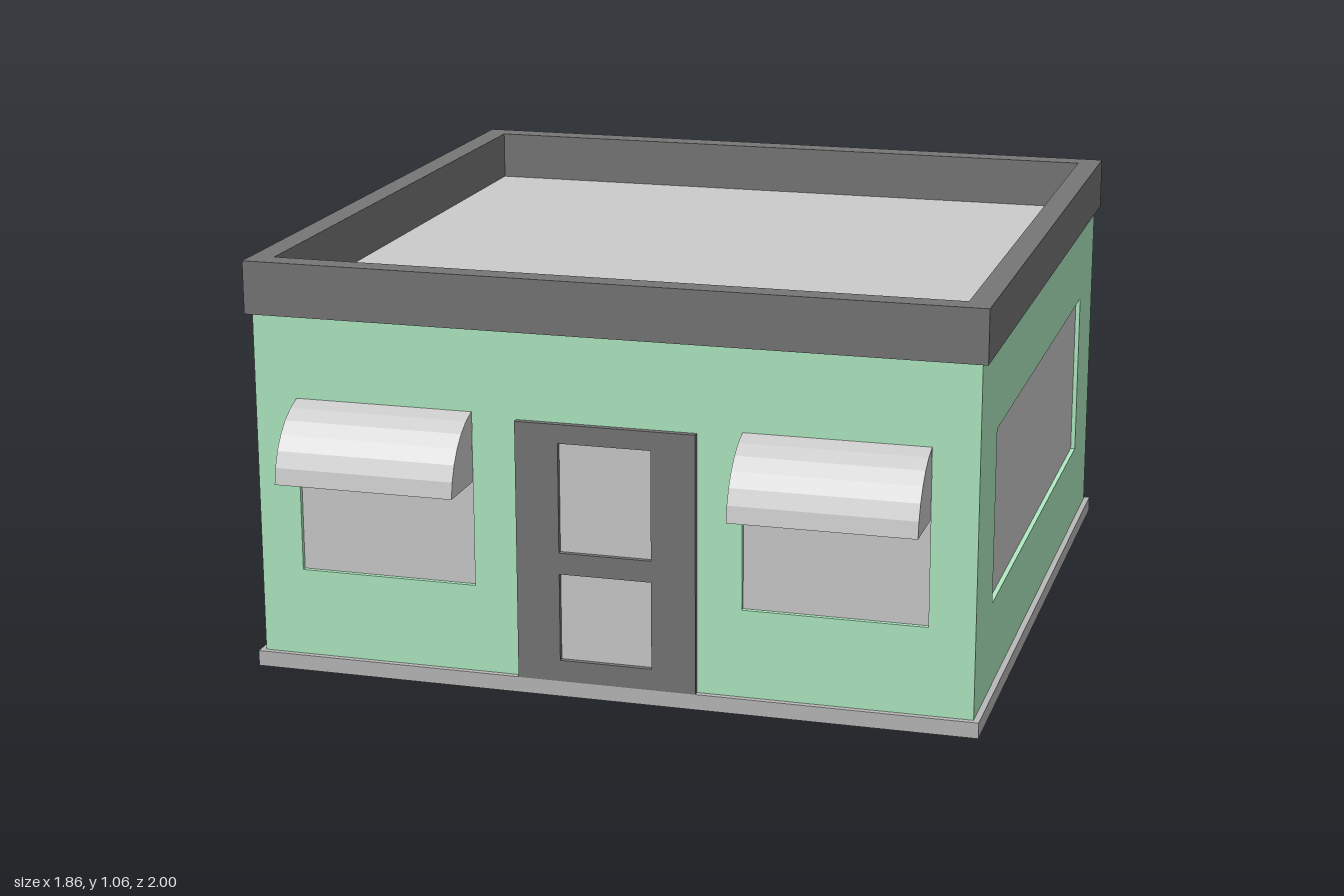
import * as THREE from 'three';

const mat = (color) => new THREE.MeshStandardMaterial({ color, flatShading: true });

// Rectangle outline [x0, y0, x1, y1] as a path or shape
function rect([x0, y0, x1, y1], Type = THREE.Path) {
  return new Type([[x0, y0], [x1, y0], [x1, y1], [x0, y1]].map(([x, y]) => new THREE.Vector2(x, y)));
}

// Flat slab with rectangular openings, extruded along +z
function slab(outer, holes, depth) {
  const shape = rect(outer, THREE.Shape);
  shape.holes = holes.map((h) => rect(h));
  return new THREE.ExtrudeGeometry(shape, { depth, bevelEnabled: false });
}

export function createModel() {
  const group = new THREE.Group();
  const grey = mat(0xcccccc), dark = mat(0x767676), green = mat(0xb0ebc3), stone = mat(0xb9b9b9);

  const add = (name, geometry, material, parent = group) => {
    const mesh = new THREE.Mesh(geometry, material);
    mesh.name = name;
    parent.add(mesh);
    return mesh;
  };
  const box = (name, x0, x1, y0, y1, z0, z1, material) =>
    add(name, new THREE.BoxGeometry(x1 - x0, y1 - y0, z1 - z0)
      .translate((x0 + x1) / 2, (y0 + y1) / 2, (z0 + z1) / 2), material);

  // Foundation and roof deck
  box('foundation', -0.93, 0.93, 0, 0.04, -1, 0.86, stone);
  box('roofDeck', -0.9, 0.9, 0.9, 0.93, -0.97, 0.83, grey);

  // Parapet ring around the roof
  add('parapet', slab([-0.93, -0.86, 0.93, 1], [[-0.87, -0.8, 0.87, 0.935]], 0.135)
    .rotateX(-Math.PI / 2).translate(0, 0.925, 0), dark);

  // Walls, with glass set back in the openings
  const T = 0.03, low = 0.04, high = 0.927;
  function wall(name, u0, u1, windows, angle, x, z) {
    const panel = new THREE.Group();
    panel.name = name;
    panel.rotation.y = angle;
    panel.position.set(x, 0, z);
    add(name + 'Panel', slab([u0, low, u1, high], windows, T).translate(0, 0, -T), green, panel);
    for (const w of windows) {
      add(name + 'Glass', new THREE.PlaneGeometry(w[2] - w[0], w[3] - w[1])
        .translate((w[0] + w[2]) / 2, (w[1] + w[3]) / 2, -0.012), grey, panel);
    }
    group.add(panel);
  }
  const frontWindows = [[-0.805, 0.265, -0.345, 0.705], [0.34, 0.265, 0.8, 0.705]];
  wall('frontWall', -0.915, 0.915, frontWindows, 0, 0, 0.845);
  wall('backWall', -0.915, 0.915, [], Math.PI, 0, -0.985);
  wall('leftWall', -0.845 + T, 0.985 - T, [[-0.62, 0.26, 0.755, 0.705]], Math.PI / 2, 0.915, 0);
  wall('rightWall', -0.985 + T, 0.845 - T, [[-0.755, 0.26, 0.62, 0.705]], -Math.PI / 2, -0.915, 0);

  // Door frame with two recessed panes
  const panes = [[-0.12, 0.095, 0.115, 0.32], [-0.12, 0.375, 0.115, 0.655]];
  add('doorFrame', slab([-0.23, 0.04, 0.227, 0.703], panes, 0.02).translate(0, 0, 0.841), dark);
  for (const [x0, y0, x1, y1] of panes) box('doorPane', x0, x1, y0, y1, 0.84, 0.848, grey);

  // Curved awnings over the front windows: an arc profile extruded sideways
  for (const [x0, , x1] of frontWindows) {
    const profile = [new THREE.Vector2(0.845, 0.535)];
    const start = 0.075, end = 1.335, steps = 6;
    for (let i = 0; i <= steps; i++) {
      const a = start + ((end - start) * i) / steps;
      profile.push(new THREE.Vector2(0.8 + 0.2 * Math.cos(a), 0.52 + 0.2 * Math.sin(a)));
    }
    const geometry = new THREE.ExtrudeGeometry(new THREE.Shape(profile), { depth: x1 - x0, bevelEnabled: false });
    // Profile runs along z, extrusion along x
    add('awning', geometry.rotateY(-Math.PI / 2).translate(x1, 0, 0), grey);
  }
  return group;
}
